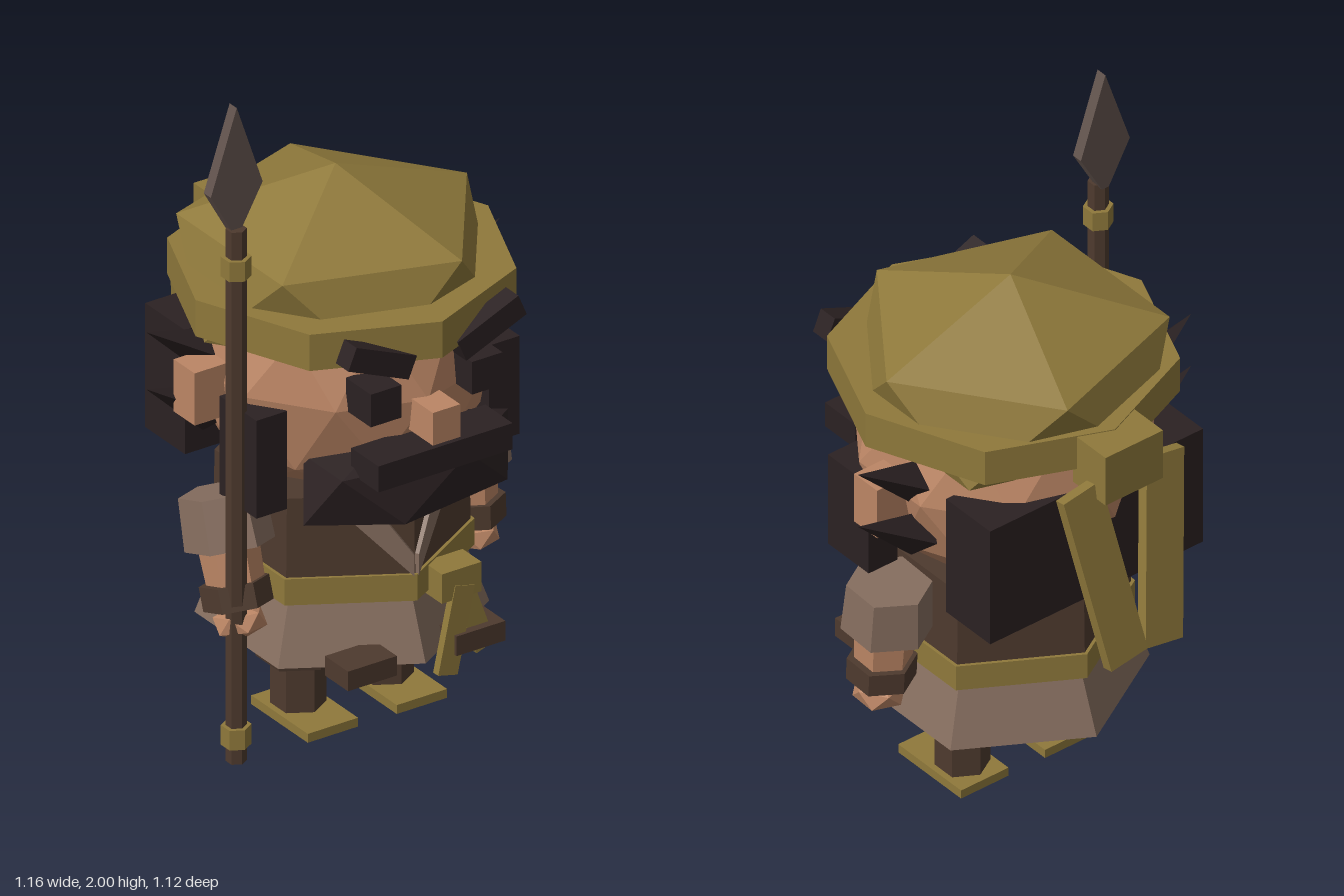
import * as THREE from 'three';

const mat = (name, hex) => {
  const m = new THREE.MeshStandardMaterial({ color: hex });
  m.name = name;
  return m;
};

export function createModel() {
  const model = new THREE.Group();
  model.name = 'spearman';
  const olive = mat('olive cloth', 0x8f793b);
  const skin = mat('skin', 0xbc8665);
  const hair = mat('dark hair', 0x2b2122);
  const brown = mat('brown cloth', 0x4e3a2e);
  const taupe = mat('taupe cloth', 0x866e5f);
  const steel = mat('dull metal', 0x62534d);

  // Gives every face its own normal
  const flat = (g) => {
    const f = g.index ? g.toNonIndexed() : g;
    f.computeVertexNormals();
    return f;
  };
  const add = (name, geo, material, x = 0, y = 0, z = 0, parent = model) => {
    const mesh = new THREE.Mesh(geo, material);
    mesh.name = name;
    mesh.position.set(x, y, z);
    parent.add(mesh);
    return mesh;
  };
  const box = (name, m, w, h, d, x, y, z, parent) =>
    add(name, new THREE.BoxGeometry(w, h, d), m, x, y, z, parent);
  // Prism between two heights
  const prism = (name, m, sides, rTop, rBottom, y0, y1, x, z, parent) =>
    add(name, flat(new THREE.CylinderGeometry(rTop, rBottom, y1 - y0, sides)), m, x, (y0 + y1) / 2, z, parent);
  // Faceted ball with a corner straight up
  const ball = (name, m, detail, rx, ry, rz, x, y, z, parent) => {
    const g = new THREE.IcosahedronGeometry(1, detail);
    g.rotateZ(-Math.atan(2 / (1 + Math.sqrt(5))));
    g.scale(rx, ry, rz);
    return add(name, flat(g), m, x, y, z, parent);
  };
  // Flat strip or spike laid between two points
  const between = (mesh, a, b) => {
    const p = new THREE.Vector3(...a), q = new THREE.Vector3(...b);
    mesh.position.copy(p).add(q).multiplyScalar(0.5);
    mesh.quaternion.setFromUnitVectors(new THREE.Vector3(0, 1, 0), q.sub(p).normalize());
    return mesh;
  };
  const strip = (name, m, w, d, a, b) => {
    const len = new THREE.Vector3(...a).distanceTo(new THREE.Vector3(...b));
    return between(box(name, m, w, len, d, 0, 0, 0), b, a);
  };

  // Head and face
  ball('head', skin, 1, 0.425, 0.42, 0.425, 0, 1.09, 0.05);
  box('nose', skin, 0.09, 0.1, 0.14, 0, 1.05, 0.49);
  box('moustache', hair, 0.44, 0.08, 0.13, 0, 0.947, 0.49);
  ball('beard', hair, 0, 0.375, 0.175, 0.175, 0, 0.835, 0.365);
  box('backHair', hair, 0.74, 0.38, 0.19, 0, 0.95, -0.245);

  // Torso
  prism('tunic', brown, 6, 0.345, 0.35, 0.5, 0.77, 0, 0.06);
  prism('belt', olive, 6, 0.36, 0.36, 0.45, 0.53, 0, 0.06);
  prism('skirt', taupe, 6, 0.335, 0.4, 0.275, 0.455, 0, 0.06);
  box('beltKnot', olive, 0.13, 0.09, 0.09, 0.125, 0.48, 0.405);
  strip('beltTail', olive, 0.065, 0.025, [0.135, 0.47, 0.44], [0.075, 0.215, 0.445]);
  strip('beltTail', olive, 0.065, 0.025, [0.135, 0.47, 0.425], [0.21, 0.255, 0.43]);

  for (const s of [1, -1]) {
    // Facial details
    box('eye', hair, 0.1, 0.1, 0.12, s * 0.166, 1.137, 0.453);
    box('eyebrow', hair, 0.215, 0.07, 0.06, s * 0.18, 1.273, 0.487).rotation.z = s * 0.4;
    box('ear', skin, 0.12, 0.16, 0.1, s * 0.44, 1.07, 0.035);
    box('sideburn', hair, 0.1, 0.3, 0.175, s * 0.382, 0.92, 0.193);
    for (const y of [1.13, 0.955]) {
      const spike = add('hairSpike', flat(new THREE.ConeGeometry(0.07, 0.25, 4)), hair);
      between(spike, [s * 0.36, y, -0.03], [s * 0.58, y + 0.12, -0.03]);
    }

    // Collar strip lying on the front tunic face
    const shape = new THREE.Shape([[0, 0.525], [0.2, 0.73], [0.1, 0.73], [0, 0.59]]
      .map(([x, y]) => new THREE.Vector2(s * x, y)));
    const collar = new THREE.ExtrudeGeometry(shape, { depth: 0.015, bevelEnabled: false });
    collar.rotateY(s * Math.PI / 6);
    add('collar', collar, taupe, 0, 0, 0.405);

    // Arm, swung forward from the shoulder on the spear side
    const arm = new THREE.Group();
    arm.name = s > 0 ? 'leftArm' : 'rightArm';
    arm.position.set(s * 0.4, 0.75, 0.06);
    arm.rotation.x = s > 0 ? -0.06 : -0.33;
    model.add(arm);
    prism('sleeve', taupe, 6, 0.12, 0.13, -0.15, 0, -s * 0.005, 0, arm);
    prism('forearm', skin, 6, 0.085, 0.08, -0.27, -0.14, s * 0.005, 0, arm);
    prism('cuff', brown, 6, 0.097, 0.097, -0.32, -0.25, s * 0.01, 0, arm);
    ball('hand', skin, 0, 0.08, 0.05, 0.08, s * 0.015, -0.363, 0, arm);

    // Leg and sandal
    prism('thigh', brown, 6, 0.14, 0.113, 0.17, 0.3, s * 0.143, 0.055);
    prism('shin', brown, 6, 0.077, 0.077, 0.025, 0.18, s * 0.143, 0.06);
    box('sandal', olive, 0.165, 0.027, 0.27, s * 0.146, 0.0135, 0.095);
    box('pouch', brown, 0.16, 0.06, 0.11, s * 0.178, 0.3, 0.41);

    // Headscarf tail converging downwards
    strip('scarfTail', olive, 0.13, 0.035, [s * 0.145, 1.23, -0.44], [s * 0.06, 0.685, -0.54]);
  }

  // Headscarf
  ball('scarfDome', olive, 0, 0.482, 0.29, 0.482, 0, 1.33, 0.03);
  prism('scarfBand', olive, 8, 0.48, 0.48, 1.247, 1.358, 0, 0.06);
  box('scarfKnot', olive, 0.2, 0.16, 0.14, 0, 1.275, -0.432);

  // Spear
  const sx = -0.445, sz = 0.203;
  prism('spearShaft', brown, 6, 0.029, 0.029, 0, 1.63, sx, sz);
  for (const y of [0.05, 1.485]) prism('spearRing', olive, 6, 0.042, 0.042, y, y + 0.06, sx, sz);
  const blade = new THREE.Shape([[-0.012, 1.62], [0.012, 1.62], [0.085, 1.75], [0, 2], [-0.085, 1.75]]
    .map(([x, y]) => new THREE.Vector2(x, y)));
  add('spearBlade', new THREE.ExtrudeGeometry(blade, { depth: 0.034, bevelEnabled: false }), steel, sx, 0, 0.172);

  return model;
}
